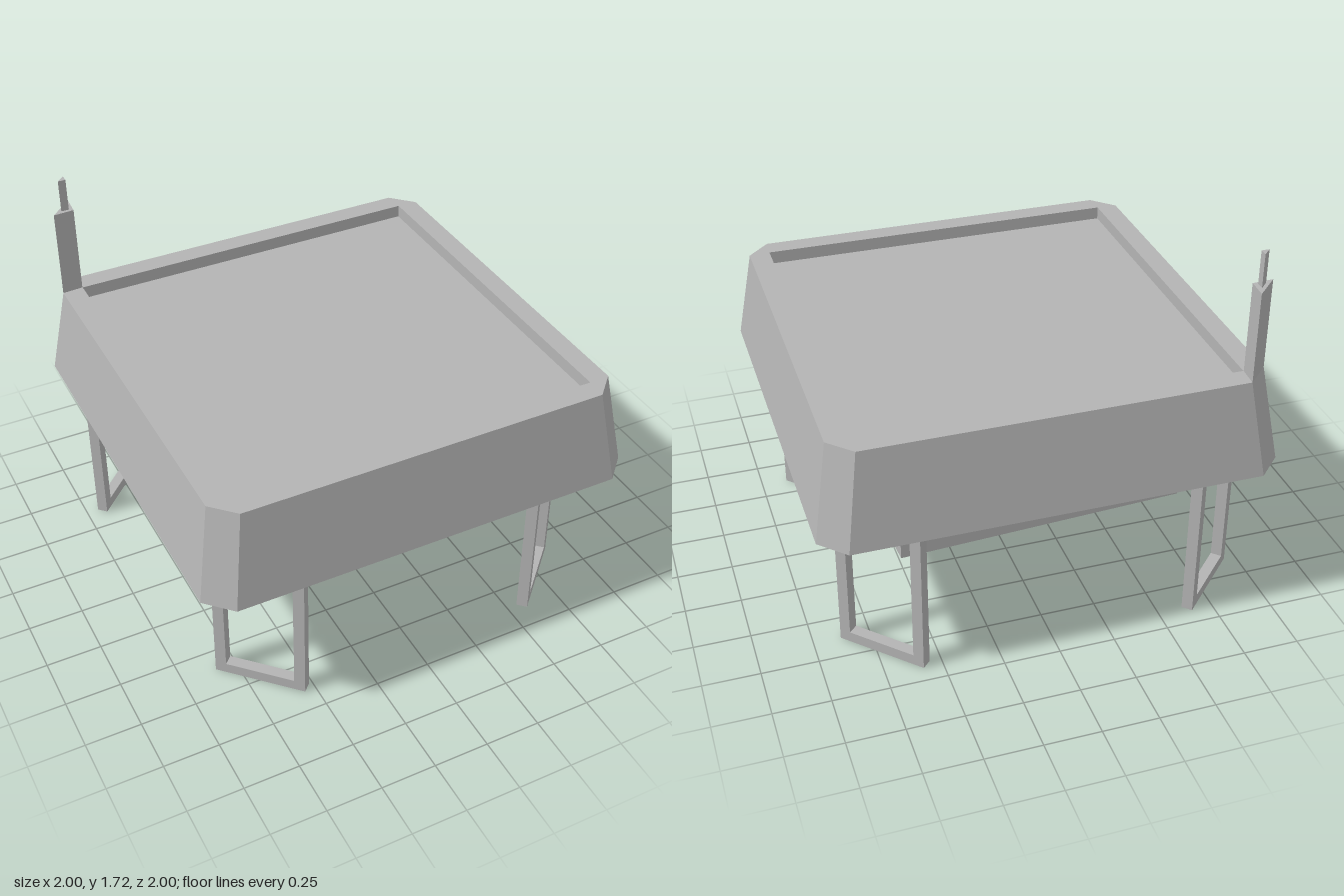
import * as THREE from 'three';

const grey = new THREE.MeshStandardMaterial({ color: 0xb4b4b4 });
grey.name = 'plain grey';

function part(name, geometry) {
  const mesh = new THREE.Mesh(geometry, grey);
  mesh.name = name;
  return mesh;
}

// Square ring with cut corners, counter-clockwise from above
function ring(half, corner, y) {
  const h = half, k = corner;
  return [[h, k], [h, -k], [k, -h], [-k, -h], [-h, -k], [-h, k], [-k, h], [k, h]]
    .map(([x, z]) => new THREE.Vector3(x, y, z));
}

// Joins rings from the underside to the tray floor, closing both ends
function loft(rings) {
  const points = [];
  const first = rings[0], last = rings[rings.length - 1], n = first.length;
  const low = new THREE.Vector3(0, first[0].y, 0);
  const high = new THREE.Vector3(0, last[0].y, 0);
  for (let i = 0; i < n; i++) {
    const j = (i + 1) % n;
    points.push(low, first[j], first[i], high, last[i], last[j]);
    for (let r = 0; r < rings.length - 1; r++) {
      const a = rings[r], b = rings[r + 1];
      points.push(a[i], a[j], b[j], a[i], b[j], b[i]);
    }
  }
  const geometry = new THREE.BufferGeometry().setFromPoints(points);
  geometry.computeVertexNormals();
  return geometry;
}

// Upright prism over a footprint of [x, z] points
function prism(footprint, bottom, top) {
  const shape = new THREE.Shape(footprint.map(([x, z]) => new THREE.Vector2(x, -z)));
  return new THREE.ExtrudeGeometry(shape, { depth: top - bottom, bevelEnabled: false })
    .rotateX(-Math.PI / 2)
    .translate(0, bottom, 0);
}

// U-shaped frame leg, standing on the ground
function legGeometry() {
  const w = 0.2075, t = 0.05, h = 0.73;
  const outline = [[-w, 0], [w, 0], [w, h], [w - t, h], [w - t, t], [t - w, t], [t - w, h], [-w, h]];
  const shape = new THREE.Shape(outline.map(([x, y]) => new THREE.Vector2(x, y)));
  return new THREE.ExtrudeGeometry(shape, { depth: t, bevelEnabled: false }).translate(0, 0, -t / 2);
}

export function createModel() {
  const model = new THREE.Group();
  model.name = 'platform';

  // Tapered deck with a rim around a shallow square tray
  model.add(part('deck', loft([
    ring(1, 0.89, 0.73),
    ring(0.93, 0.83, 1.16),
    ring(0.835, 0.835, 1.16),
    ring(0.835, 0.835, 1.1),
  ])));

  // Two stacked boxes under the deck, turned slightly
  for (const [name, size, bottom, top] of [
    ['underBox', 1.3, 0.415, 0.73],
    ['lowerBox', 0.772, 0.315, 0.415],
  ]) {
    const box = part(name, new THREE.BoxGeometry(size, top - bottom, size));
    box.position.y = (bottom + top) / 2;
    box.rotation.y = THREE.MathUtils.degToRad(3.4);
    model.add(box);
  }

  // Frame legs facing outward at the corners
  const leg = legGeometry();
  for (const [name, x, z] of [
    ['frontLeftLeg', 0.715, 0.735],
    ['backLeftLeg', 0.715, -0.76],
    ['frontRightLeg', -0.68, 0.735],
    ['backRightLeg', -0.78, -0.76],
  ]) {
    const mesh = part(name, leg);
    mesh.position.set(x, 0, z);
    mesh.rotation.y = Math.atan2(Math.sign(x), Math.sign(z));
    model.add(mesh);
  }

  // Three-sided mast and rod on the back right corner
  model.add(part('mast', prism([[-0.93, -0.83], [-0.836, -0.836], [-0.83, -0.93]], 1.16, 1.57)));
  model.add(part('mastRod', prism([[-0.888, -0.85], [-0.853, -0.85], [-0.853, -0.885]], 1.57, 1.72)));

  return model;
}
